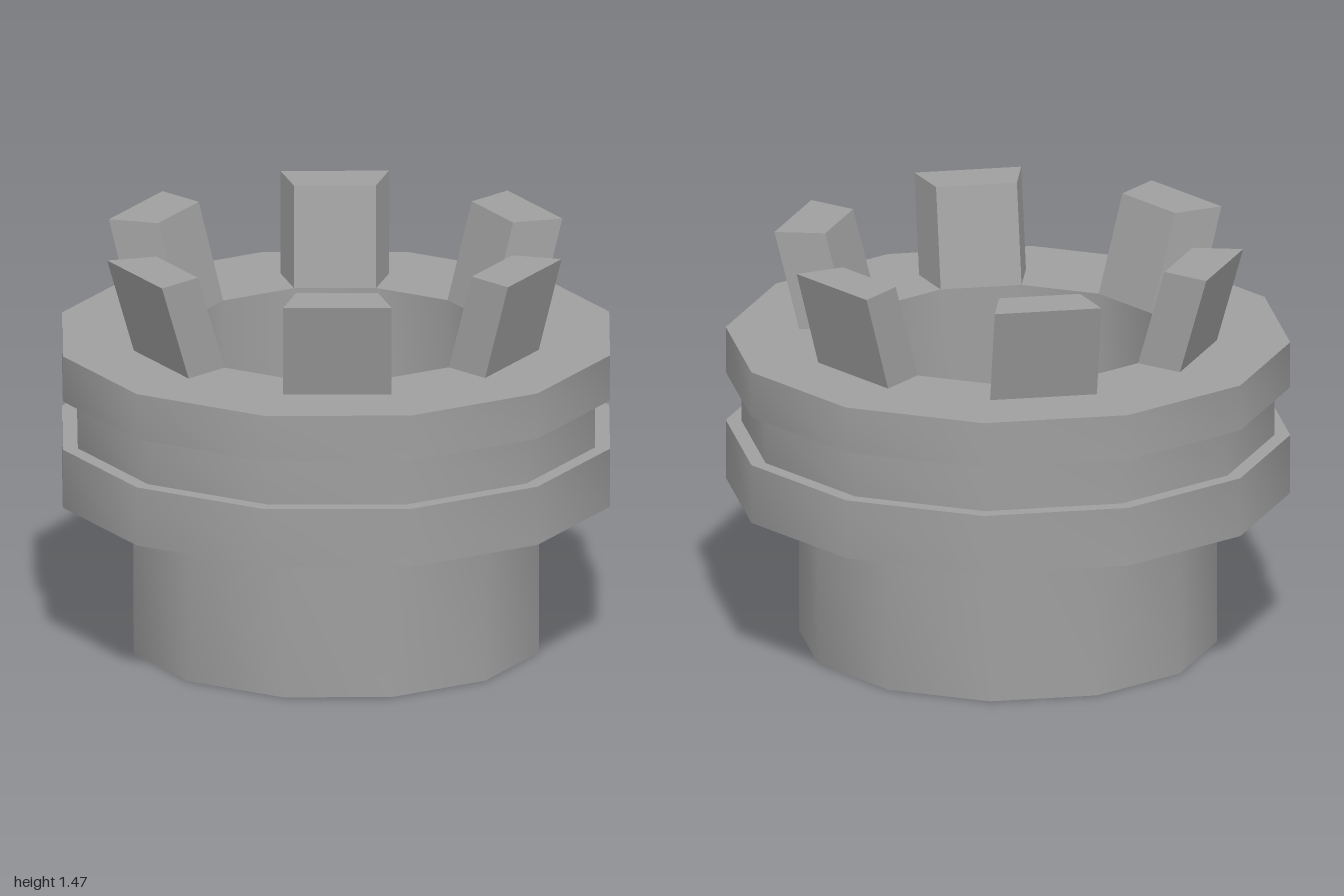
import * as THREE from 'three';
import { toCreasedNormals } from 'three/addons/utils/BufferGeometryUtils.js';

const SIDES = 12;
const BORE = 0.56;      // inner radius
const NECK = 0.74;      // radius of the lower tube and outer radius of the teeth
const TOP = 1.12;       // height of the flange's upper face
const TOOTH_TOP = 1.47;
const FLARES = [0.093, 0.099, 0.094, 0.099, 0.109, 0.094]; // outward lean of each tooth

// Twelve-sided hollow body: neck, grooved flange and bore
function bodyGeometry() {
  const profile = [
    [BORE, 0], [NECK, 0], [NECK, 0.56],
    [1, 0.56], [1, 0.775],
    [0.945, 0.775], [0.945, 0.953],
    [1, 0.953], [1, TOP],
    [BORE, TOP], [BORE, 0],
  ].map(([r, y]) => new THREE.Vector2(r, y));
  return toCreasedNormals(new THREE.LatheGeometry(profile, SIDES), THREE.MathUtils.degToRad(35));
}

// One tooth: a box shaped to fill a side of the ring and sheared outwards along +x
function toothGeometry(flare) {
  const half = Math.PI / SIDES;
  const geometry = new THREE.BoxGeometry(1, 1, 1);
  const p = geometry.attributes.position;
  for (let i = 0; i < p.count; i++) {
    const r = p.getX(i) > 0 ? NECK : BORE;
    const upper = p.getY(i) > 0;
    p.setXYZ(
      i,
      r * Math.cos(half) + (upper ? flare : 0),
      upper ? TOOTH_TOP : TOP,
      Math.sign(p.getZ(i)) * r * Math.sin(half)
    );
  }
  return toCreasedNormals(geometry, 0.3);
}

export function createModel() {
  const model = new THREE.Group();
  model.name = 'toothedCollar';
  const material = new THREE.MeshStandardMaterial({ color: 0x9f9f9f });

  const body = new THREE.Mesh(bodyGeometry(), material);
  body.name = 'body';
  model.add(body);

  // Teeth on every second side of the ring
  const teeth = new THREE.Group();
  teeth.name = 'teeth';
  FLARES.forEach((flare, i) => {
    const tooth = new THREE.Mesh(toothGeometry(flare), material);
    tooth.name = `tooth${i + 1}`;
    tooth.rotation.y = (2 * i + 0.5) * (2 * Math.PI / SIDES);
    teeth.add(tooth);
  });
  model.add(teeth);
  return model;
}
